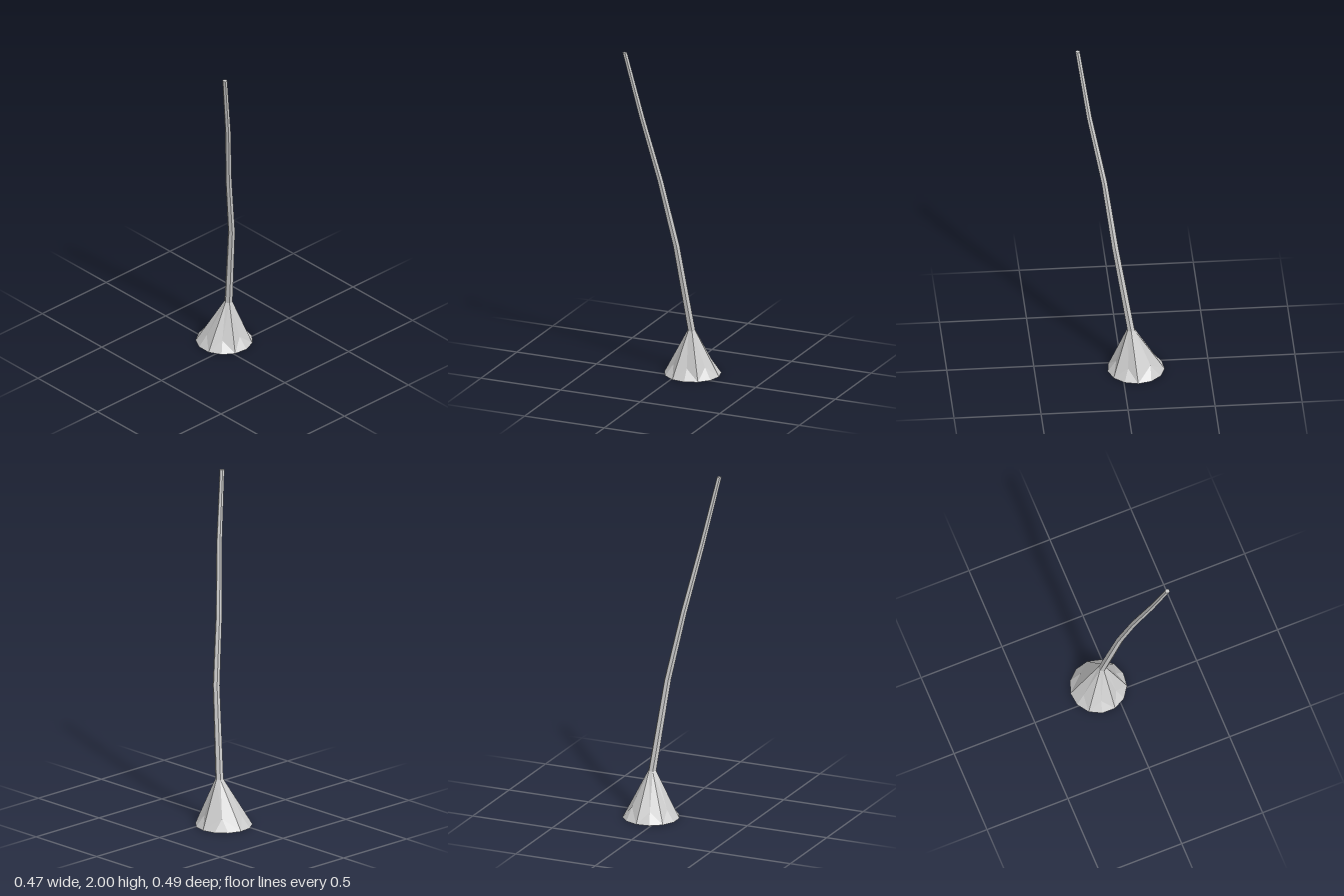
import * as THREE from 'three';

const polar = (cx, y, cz, r, a) => [cx + r * Math.cos(a), y, cz + r * Math.sin(a)];

function facetMesh(name, triangles) {
  const geometry = new THREE.BufferGeometry();
  geometry.setAttribute('position', new THREE.Float32BufferAttribute(triangles.flat(2), 3));
  geometry.computeVertexNormals();
  const mesh = new THREE.Mesh(geometry, new THREE.MeshStandardMaterial({ color: 0xcccccc, flatShading: true }));
  mesh.name = name;
  return mesh;
}

export function createModel() {
  const group = new THREE.Group();
  group.name = 'bentStalk';

  // Hexagonal stalk sections: x, y, z, radius
  const sections = [
    [0.074, 0.27, -0.052, 0.024],
    [0.017, 0.8, 0.034, 0.021],
    [-0.058, 1.2, 0.09, 0.019],
    [-0.138, 1.6, 0.17, 0.017],
    [-0.218, 2.0, 0.23, 0.0145],
  ];
  const rings = sections.map(([x, y, z, r]) =>
    Array.from({ length: 6 }, (_, k) => polar(x, y, z, r, (k * Math.PI) / 3)));

  // Stalk walls and flat tip
  const stalk = [];
  for (let s = 0; s < rings.length - 1; s++) {
    const lo = rings[s], hi = rings[s + 1];
    for (let k = 0; k < 6; k++) {
      const n = (k + 1) % 6;
      stalk.push([lo[k], hi[k], lo[n]], [hi[k], hi[n], lo[n]]);
    }
  }
  const tip = rings[rings.length - 1];
  for (let k = 1; k < 5; k++) stalk.push([tip[0], tip[k + 1], tip[k]]);
  group.add(facetMesh('stalk', stalk));

  // Flared foot: six ridges run down to a 13-sided rim, with a dent between each pair
  const cx = 0.068, cz = -0.081, step = (2 * Math.PI) / 13;
  const rim = (i) => polar(cx, 0, cz, 0.165, ((i % 13) - 3) * step);
  const ridges = [3, 5, 7, 9, 11, 13, 16];
  const foot = [];
  for (let k = 0; k < 6; k++) {
    const a = ridges[k], b = ridges[k + 1];
    const u0 = rings[0][k], u1 = rings[0][(k + 1) % 6];
    const dent = polar(cx, b - a > 2 ? 0.07 : 0.065, cz, 0.115, ((a + b) / 2 - 3) * step);
    foot.push([u0, u1, dent], [rim(a), u0, dent], [u1, rim(b), dent]);
    for (let i = a; i < b; i++) foot.push([rim(i), dent, rim(i + 1)]);
  }
  // Underside
  for (let i = 0; i < 13; i++) foot.push([[cx, 0, cz], rim(i), rim(i + 1)]);
  group.add(facetMesh('flaredFoot', foot));

  return group;
}
